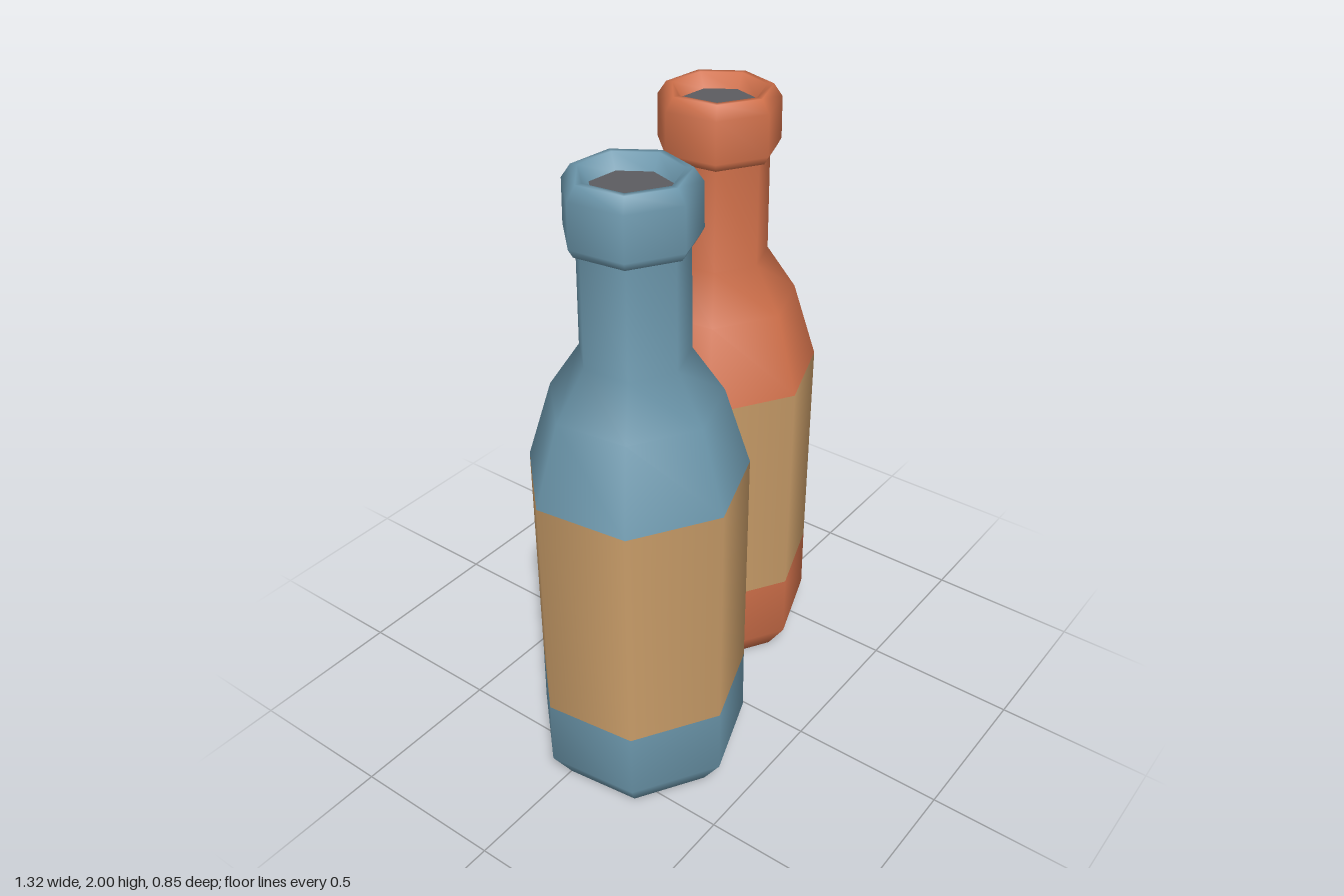
import * as THREE from 'three';

const SIDES = 7;
const TURN = -0.1; // both bottles share the same slight twist

function material(name, color) {
  const m = new THREE.MeshStandardMaterial({ color });
  m.name = name;
  return m;
}

// Seven-sided smooth surface of revolution from [radius, height] pairs, bottom to top
function turned(name, profile, mat) {
  const points = profile.map(([r, y]) => new THREE.Vector2(r, y));
  const mesh = new THREE.Mesh(new THREE.LatheGeometry(points, SIDES, TURN), mat);
  mesh.name = name;
  return mesh;
}

function bottle(name, glass, paper, dark) {
  const group = new THREE.Group();
  group.name = name;

  // Chamfered foot
  group.add(turned('base', [[0, 0], [0.275, 0], [0.338, 0.095], [0.336, 0.315]], glass));

  // Paper label wrapped around the body
  group.add(turned('label', [[0.336, 0.315], [0.336, 1.07]], paper));

  // Shoulder and straight neck
  group.add(turned('shoulderAndNeck', [
    [0.336, 1.07], [0.257, 1.325], [0.163, 1.47], [0.16, 1.815],
  ], glass));

  // Thick lip, rolling over into the mouth
  group.add(turned('lip', [
    [0.158, 1.805], [0.18, 1.805], [0.194, 1.83], [0.192, 1.96],
    [0.165, 2], [0.145, 2], [0.114, 1.955],
  ], glass));

  // Dark mouth
  group.add(turned('mouth', [[0.116, 1.957], [0, 1.957]], dark));
  return group;
}

export function createModel() {
  const model = new THREE.Group();
  model.name = 'bottles';
  const blue = material('blue glass', 0x6c97ac);
  const orange = material('orange glass', 0xd0704a);
  const tan = material('tan label', 0xc89c68);
  const grey = material('dark grey', 0x5c5c60);

  const right = bottle('blueBottle', blue, tan, grey);
  right.position.set(-0.333, 0, 0.088);
  const left = bottle('orangeBottle', orange, tan, grey);
  left.position.set(0.333, 0, -0.108);
  model.add(right, left);
  return model;
}
